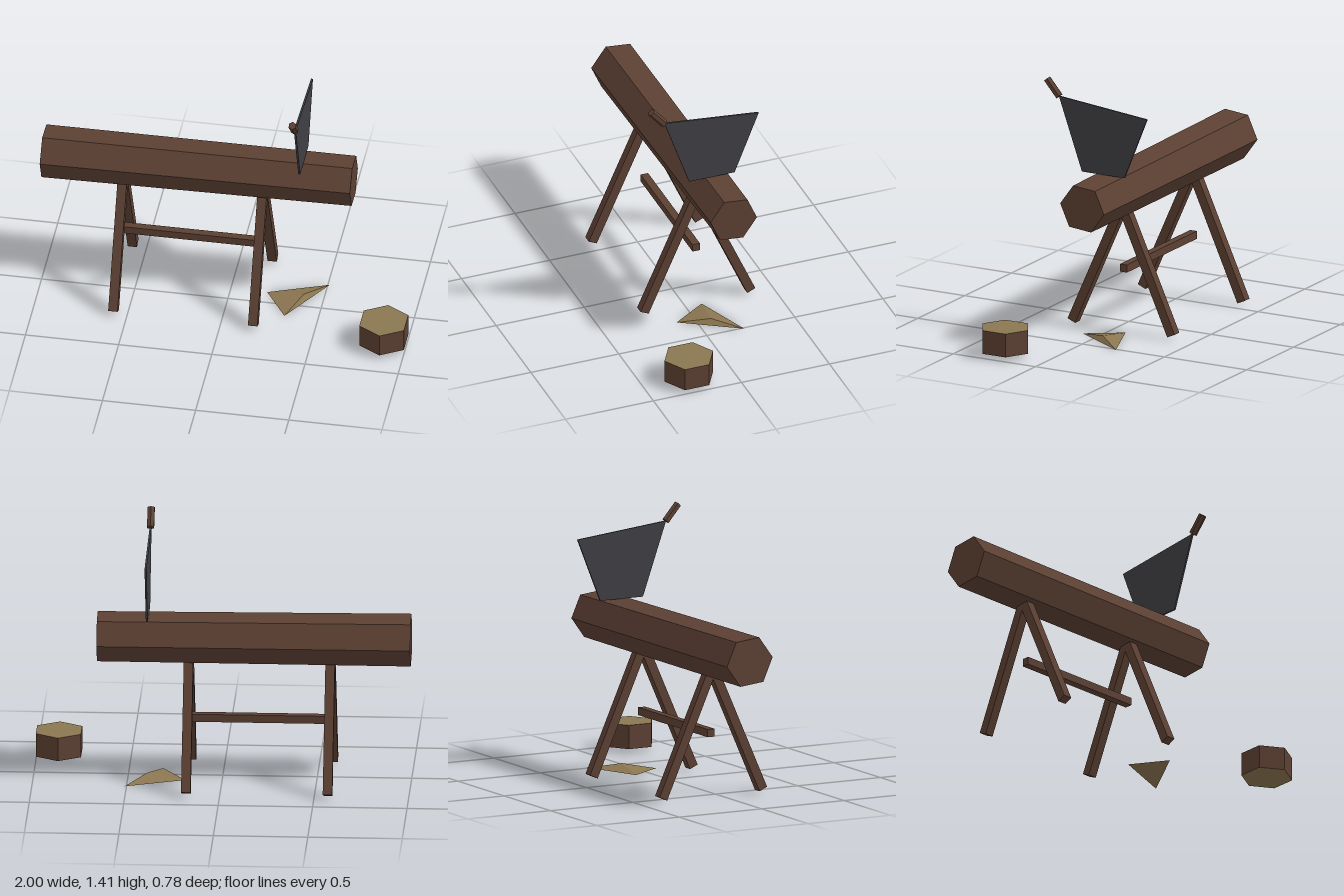
import * as THREE from 'three';

export function createModel() {
  const model = new THREE.Group();
  const mat = (name, color) => Object.assign(new THREE.MeshStandardMaterial({ color, flatShading: true }), { name });
  const wood = mat('brownWood', 0x5c4033);
  const cut = mat('cutWood', 0x8b7650);
  const steel = mat('darkSteel', 0x3f3f44);

  const add = (name, geometry, material, x = 0, y = 0, z = 0) => {
    const mesh = new THREE.Mesh(geometry, material);
    mesh.name = name;
    mesh.position.set(x, y, z);
    model.add(mesh);
    return mesh;
  };

  // Hexagonal log lying along x, slightly tapered and turned
  const logGeo = new THREE.CylinderGeometry(0.133, 0.14, 1.66, 6);
  logGeo.rotateZ(-Math.PI / 2);
  logGeo.rotateX(-0.105);
  add('log', logGeo, wood, -0.17, 0.795, -0.081).rotation.y = 0.011;

  // Sawhorse: two pairs of splayed legs
  const midZ = -0.067, topY = 0.7, footY = 0.022, spread = 0.303;
  const legLength = Math.hypot(topY - footY, spread);
  const tilt = Math.atan2(spread, topY - footY);
  for (const x of [-0.573, 0.177]) {
    for (const side of [1, -1]) {
      const leg = add(side > 0 ? 'frontLeg' : 'backLeg', new THREE.BoxGeometry(0.05, legLength, 0.05), wood,
        x, (topY + footY) / 2, midZ + side * spread / 2);
      leg.rotation.x = -side * tilt;
    }
  }
  add('crossbar', new THREE.BoxGeometry(0.75, 0.042, 0.042), wood, -0.198, 0.346, midZ);

  // Saw blade standing on the log, profile given as (-z, y)
  const profile = [[-0.06, 0.915], [0.198, 0.915], [0.335, 1.255], [-0.2, 1.31]];
  const shape = new THREE.Shape(profile.map(([u, v]) => new THREE.Vector2(u, v)));
  const blade = new THREE.ExtrudeGeometry(shape, { depth: 0.01, bevelEnabled: false });
  blade.translate(0, 0, -0.005);
  blade.rotateY(Math.PI / 2);
  add('sawBlade', blade, steel, 0.393);

  // Saw handle
  add('sawHandle', new THREE.CylinderGeometry(0.0215, 0.0215, 0.113, 6), wood, 0.393, 1.351, 0.237).rotation.x = 0.71;

  // Cut log slice with pale ends
  add('logSlice', new THREE.CylinderGeometry(0.138, 0.138, 0.128, 6), [wood, cut, cut], 0.88, 0.089, 0.252);

  // Low three-sided heap of sawdust
  const a = [0.195, 0, -0.09], b = [0.32, 0, 0.1], c = [0.51, 0, -0.21], peak = [0.395, 0.03, -0.065];
  const heap = new THREE.BufferGeometry();
  const corners = [a, b, peak, b, c, peak, c, a, peak, a, c, b].flat();
  heap.setAttribute('position', new THREE.Float32BufferAttribute(corners, 3));
  heap.computeVertexNormals();
  add('sawdustHeap', heap, cut);

  return model;
}
